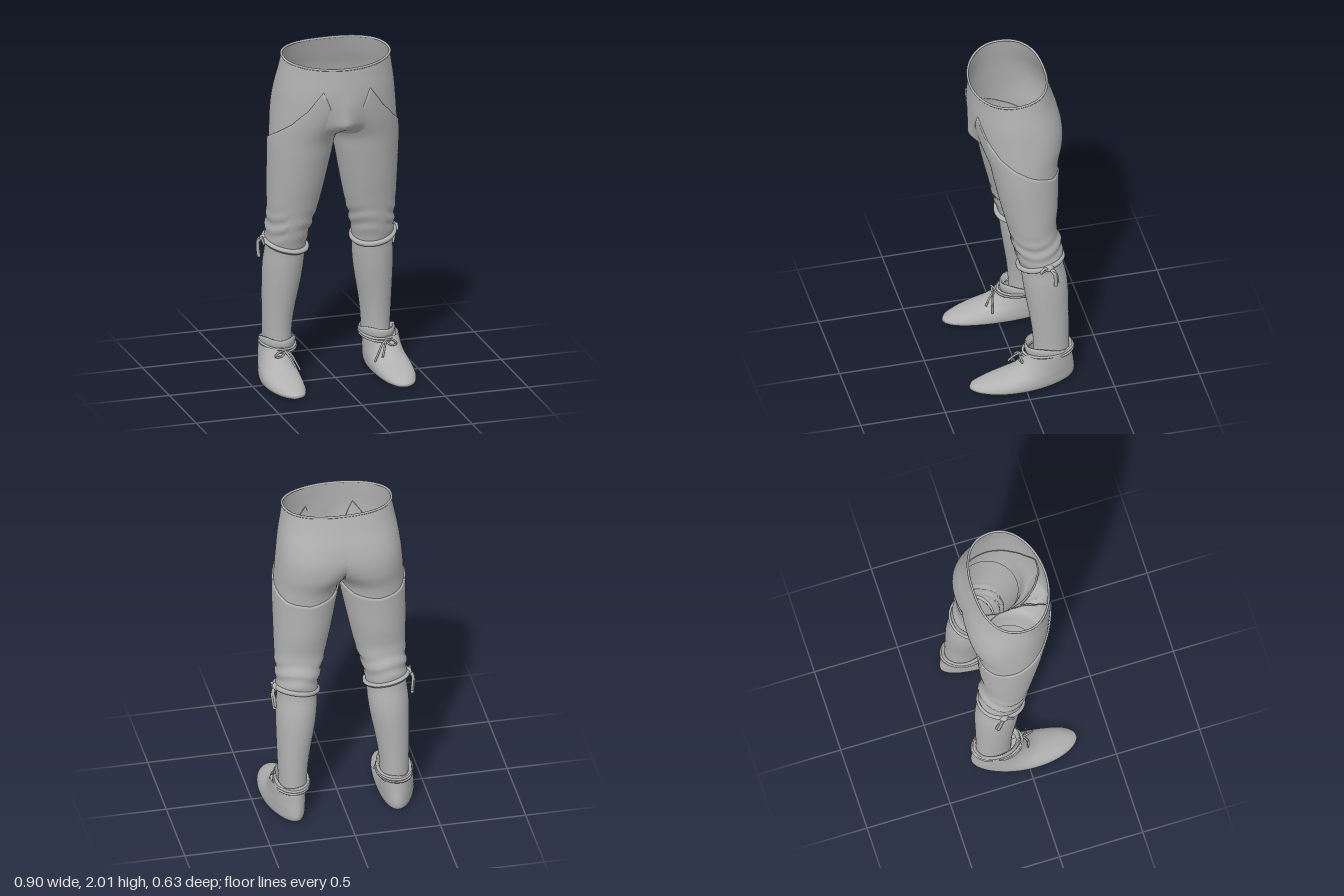
import * as THREE from 'three';
import { mergeGeometries, mergeVertices } from 'three/addons/utils/BufferGeometryUtils.js';

const N = 72; // points round each ring: 0 = outer side, then front, inner side, back

// Left leg and hip sections: y, outer x, inner x, front z, back z
const SECTIONS = [
  [0.15, 0.37, 0.225, -0.08, -0.27], [0.28, 0.372, 0.222, -0.078, -0.27],
  [0.4, 0.376, 0.208, -0.066, -0.27], [0.6, 0.38, 0.172, -0.035, -0.27],
  [0.7, 0.378, 0.16, -0.022, -0.262], [0.79, 0.37, 0.155, -0.012, -0.245],
  [0.86, 0.374, 0.145, 0.008, -0.24], [0.93, 0.372, 0.13, 0.027, -0.238],
  [1.05, 0.375, 0.095, 0.052, -0.21], [1.2, 0.378, 0.062, 0.088, -0.222],
  [1.4, 0.38, 0.022, 0.13, -0.23], [1.5, 0.378, -0.002, 0.15, -0.24],
  [1.6, 0.372, -0.09, 0.185, -0.27], [1.7, 0.362, -0.19, 0.212, -0.278],
  [1.8, 0.35, -0.27, 0.228, -0.262], [1.9, 0.332, -0.332, 0.232, -0.232],
  [2.01, 0.312, -0.312, 0.228, -0.2],
];

// Smooth interpolation of the section table
function sectionAt(y) {
  const S = SECTIONS, n = S.length;
  let i = 0;
  while (i < n - 2 && y > S[i + 1][0]) i++;
  const h = S[i + 1][0] - S[i][0], t = THREE.MathUtils.clamp((y - S[i][0]) / h, 0, 1);
  const slope = (k, c) => {
    const a = S[Math.max(k - 1, 0)], b = S[Math.min(k + 1, n - 1)];
    return (b[c] - a[c]) / (b[0] - a[0]);
  };
  return [1, 2, 3, 4].map((c) =>
    (1 + 2 * t) * (1 - t) ** 2 * S[i][c] + t * (1 - t) ** 2 * h * slope(i, c) +
    t * t * (3 - 2 * t) * S[i + 1][c] + t * t * (t - 1) * h * slope(i + 1, c));
}

// Point on the leg surface, pushed out by off and kept on its own side of the middle
function legPoint(a, y, off) {
  const [xo, xi, zf, zb] = sectionAt(y);
  const c = Math.cos(a), s = Math.sin(a);
  const hip = THREE.MathUtils.smoothstep(y, 1.5, 1.75);
  const e = s < 0 ? 1 - 0.18 * hip : 1;
  const x = (xo + xi) / 2 + ((xo - xi) / 2 + off) * Math.sign(c) * Math.abs(c) ** e;
  const z = (zf + zb) / 2 + ((zf - zb) / 2 + off) * Math.sign(s) * Math.abs(s) ** e;
  return [Math.max(x, 0), y, z];
}

// Surface through rows of closed rings; faces lying in the middle plane are left out
function loft(rows, fn) {
  const pos = [], idx = [];
  for (let i = 0; i < rows; i++)
    for (let j = 0; j < N; j++) pos.push(...fn(i / (rows - 1), (j / N) * Math.PI * 2, i));
  const add = (...f) => { if (f.some((k) => pos[k * 3] > 1e-5)) idx.push(...f); };
  for (let i = 0; i < rows - 1; i++)
    for (let j = 0; j < N; j++) {
      const k = (j + 1) % N, a = i * N + j, b = i * N + k;
      add(a, a + N, b);
      add(b, a + N, b + N);
    }
  const g = new THREE.BufferGeometry();
  g.setAttribute('position', new THREE.Float32BufferAttribute(pos, 3));
  g.setIndex(idx);
  g.computeVertexNormals();
  return g;
}

function mirrored(geo) {
  const g = geo.clone().scale(-1, 1, 1), ix = g.index.array;
  for (let i = 0; i < ix.length; i += 3) [ix[i + 1], ix[i + 2]] = [ix[i + 2], ix[i + 1]];
  g.computeVertexNormals();
  return g;
}

const vec = (p) => new THREE.Vector3(...p);
const cord = (pts, r, closed = false) => new THREE.TubeGeometry(
  new THREE.CatmullRomCurve3(pts.map(vec), closed), closed ? 72 : 24, r, 8, closed);

// Closed cord round an ellipse
function band(cx, cz, rx, rz, yFn, r) {
  const pts = [];
  for (let i = 0; i < 24; i++) {
    const a = (i / 24) * Math.PI * 2;
    pts.push([cx + rx * Math.cos(a), yFn(a), cz + rz * Math.sin(a)]);
  }
  return cord(pts, r, true);
}

// Upper edge of the stocking by angle in degrees: pointed in front, low at the back
const EDGE = [[0, 1.5], [25, 1.55], [45, 1.61], [60, 1.7], [70, 1.82], [80, 1.755], [95, 1.66],
  [120, 1.58], [150, 1.53], [180, 1.5], [225, 1.445], [270, 1.425], [315, 1.44], [360, 1.5]];
function edgeY(a) {
  const d = THREE.MathUtils.radToDeg(a);
  const i = Math.max(1, EDGE.findIndex((e) => e[0] >= d - 1e-6));
  const [p, q] = [EDGE[i - 1], EDGE[i]];
  return p[1] + ((q[1] - p[1]) * (d - p[0])) / (q[0] - p[0]);
}

// Half of the breeches, with the pouch drawn forward in the middle
function breechesPoint(v, a) {
  const rim = 1.975 - 0.024 * Math.sin(a) + 0.01 * Math.cos(a) ** 2;
  const p = legPoint(a, THREE.MathUtils.lerp(1.36, rim, v), 0);
  if (Math.sin(a) > 0) {
    const w = Math.exp(-((p[0] / 0.09) ** 2)) * THREE.MathUtils.smoothstep(p[1], 1.49, 1.62) *
      (1 - THREE.MathUtils.smoothstep(p[1], 1.72, 1.95));
    p[2] += (0.243 - p[2]) * w;
  }
  return p;
}

// Stocking with a turned-in top edge and soft folds above the knee band
function stockingPoint(v, a, i) {
  const t = Math.min(i / 70, 1), y = THREE.MathUtils.lerp(0.17, edgeY(a), t);
  const fold = Math.exp(-(((y - 0.94) / 0.08) ** 2));
  const wave = 0.006 * fold * Math.sin(y * 75 + 2 * Math.sin(a * 2 + 1));
  return legPoint(a, y, i > 70 ? -0.004 : 0.009 + wave);
}

// Shoe rings: y, toe z, heel z, half width
const SHOE = [[0.004, 0.295, -0.29, 0.1], [0.014, 0.315, -0.303, 0.111], [0.03, 0.308, -0.31, 0.114],
  [0.048, 0.268, -0.311, 0.113], [0.06, 0.235, -0.31, 0.111], [0.075, 0.185, -0.309, 0.108],
  [0.09, 0.13, -0.307, 0.105], [0.105, 0.085, -0.305, 0.102], [0.125, 0.05, -0.302, 0.099],
  [0.155, 0.015, -0.299, 0.096], [0.185, -0.008, -0.296, 0.094], [0.21, -0.02, -0.293, 0.092]];
function shoePoint(v, a, i) {
  const [y, zf, zb, w] = SHOE[i];
  const z = (zf + zb) / 2 + ((zf - zb) / 2) * Math.sin(a);
  const cx = 0.335 - 0.22 * (z - 0.1) ** 2;
  return [cx + w * (1 + 0.06 * Math.sin(a)) * Math.cos(a), y, z];
}
function solePoint(v, a) {
  const p = shoePoint(0, a, 0);
  return [0.32 + (p[0] - 0.32) * v, v < 1 ? 0.001 : 0.004, p[2] * v];
}

// Flared cuff: height, spread
const CUFF = [[0, -0.004], [0.3, 0.003], [0.65, 0.006], [1, 0.003], [0.95, -0.008], [0.4, -0.02]];
function cuffPoint(v, a, i) {
  const [t, o] = CUFF[i];
  const top = 0.242 + 0.016 * Math.sin(a) + 0.008 * Math.sin(3 * a + 0.6);
  return [0.3 + (0.096 + o) * Math.cos(a), 0.19 + (top - 0.19) * t, -0.158 + (0.134 + o) * Math.sin(a)];
}

export function createModel() {
  const model = new THREE.Group();
  model.name = 'hoseAndShoes';
  const cloth = new THREE.MeshStandardMaterial({ color: 0xb2b2b2, side: THREE.DoubleSide });
  cloth.name = 'grey cloth';
  const add = (parent, name, geo) => {
    const m = new THREE.Mesh(geo, cloth);
    m.name = name;
    parent.add(m);
  };

  // Breeches: two halves joined along the middle
  const half = loft(56, breechesPoint);
  half.deleteAttribute('normal');
  const other = mirrored(half);
  other.deleteAttribute('normal');
  const breeches = mergeVertices(mergeGeometries([half, other]), 1e-4);
  breeches.computeVertexNormals();
  add(model, 'breeches', breeches);

  // Waist hem
  const rim = [];
  for (let d = -90; d <= 90; d += 10) rim.push(breechesPoint(1, THREE.MathUtils.degToRad(d)));
  const back = rim.slice(1, -1).reverse().map(([x, y, z]) => [-x, y, z]);
  add(model, 'waistHem', cord([...rim, ...back], 0.007, true));

  // Leg parts, made once and mirrored
  const parts = {
    stocking: loft(72, stockingPoint),
    shoe: loft(SHOE.length, shoePoint),
    sole: loft(2, solePoint),
    cuff: loft(CUFF.length, cuffPoint),
    kneeBand: band(0.264, -0.12, 0.122, 0.127,
      (a) => 0.82 + 0.022 * Math.cos(a) - 0.025 * Math.sin(a), 0.016),
    kneeKnot: new THREE.SphereGeometry(0.022, 16, 12).scale(0.8, 1, 1.3).translate(0.392, 0.845, -0.14),
    kneeLoop: cord([[0.393, 0.845, -0.14], [0.405, 0.855, -0.11], [0.4, 0.825, -0.09], [0.393, 0.84, -0.13]], 0.008),
    kneeTailLong: cord([[0.395, 0.845, -0.145], [0.412, 0.82, -0.165], [0.41, 0.77, -0.175], [0.403, 0.722, -0.178]], 0.011),
    kneeTailShort: cord([[0.395, 0.845, -0.145], [0.41, 0.835, -0.165], [0.405, 0.79, -0.185], [0.4, 0.74, -0.19]], 0.008),
    ankleCordUpper: band(0.3, -0.154, 0.098, 0.146, (a) => 0.207 - 0.006 * Math.sin(a), 0.008),
    ankleCordLower: band(0.3, -0.154, 0.1, 0.149, (a) => 0.192 - 0.008 * Math.sin(a + 0.4), 0.007),
    laceLoop: cord([[0.3, 0.195, -0.002], [0.34, 0.2, 0.02], [0.365, 0.17, 0.01], [0.33, 0.17, 0.02], [0.3, 0.192, 0]], 0.006),
    laceTailInner: cord([[0.305, 0.195, 0], [0.275, 0.18, 0.025], [0.25, 0.135, 0.035], [0.225, 0.085, 0.04]], 0.006),
    laceTailFront: cord([[0.305, 0.195, 0], [0.29, 0.175, 0.03], [0.275, 0.145, 0.055], [0.262, 0.118, 0.07]], 0.006),
  };
  for (const side of ['left', 'right']) {
    const leg = new THREE.Group();
    leg.name = side + 'Leg';
    for (const [name, geo] of Object.entries(parts)) add(leg, name, side === 'left' ? geo : mirrored(geo));
    model.add(leg);
  }
  return model;
}
